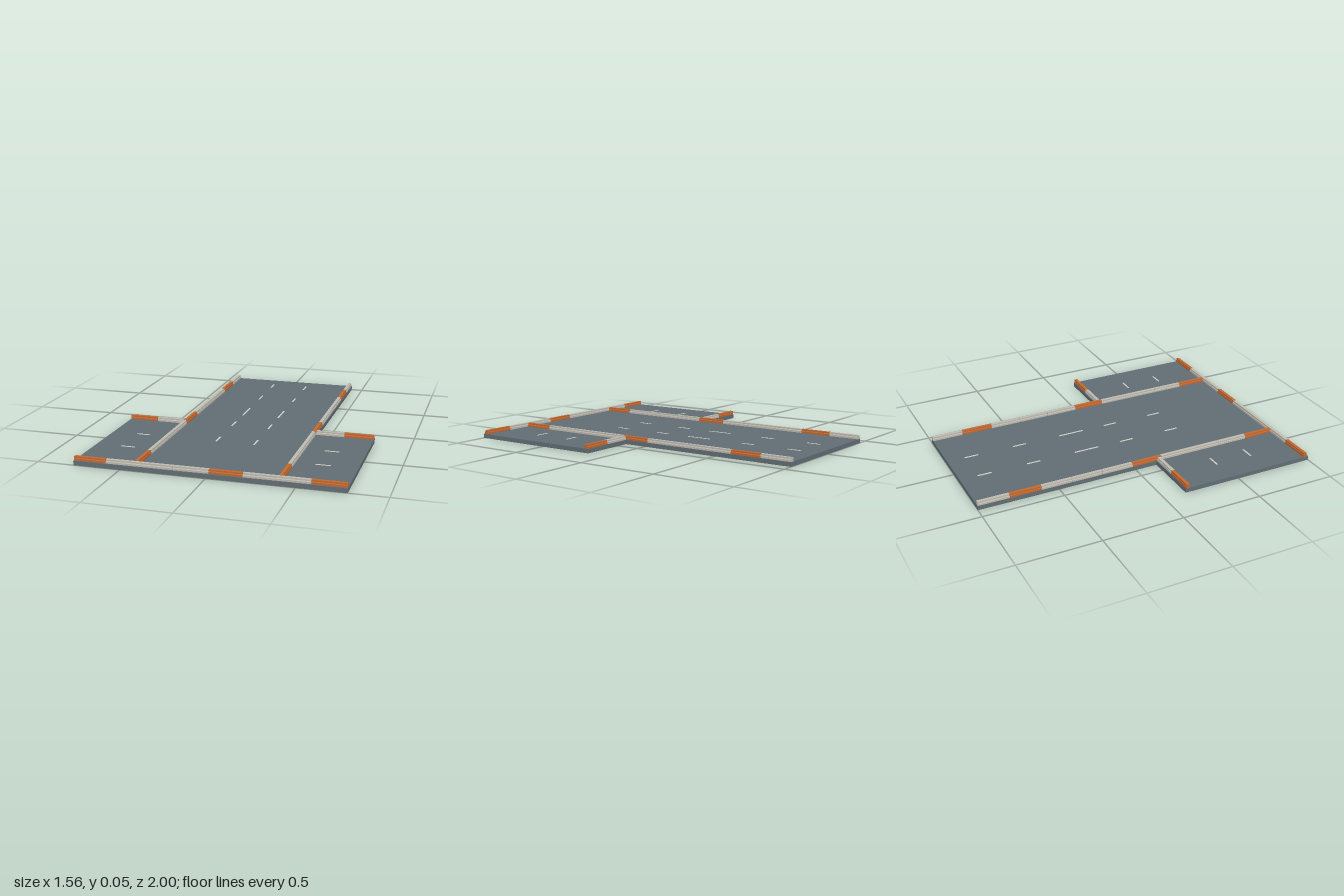
import * as THREE from 'three';

const asphalt = new THREE.MeshStandardMaterial({ name: 'asphalt grey', color: 0x626e74 });
const concrete = new THREE.MeshStandardMaterial({ name: 'concrete', color: 0xbfbbb1 });
const orange = new THREE.MeshStandardMaterial({ name: 'barrier orange', color: 0xc4682f });
const paint = new THREE.MeshStandardMaterial({ name: 'lane paint', color: 0xd0d0c8 });

const DECK = 0.026, TOP = 0.05;

// Barrier cross-section: wide foot with a slightly narrower top
const profile = new THREE.Shape([
  [-0.013, 0], [0.013, 0], [0.013, 0.011], [0.01, 0.015], [0.01, TOP - DECK],
  [-0.01, TOP - DECK], [-0.01, 0.015], [-0.013, 0.011],
].map(([x, y]) => new THREE.Vector2(x, y)));

// One barrier block from a to b, along z at x = at, or along x at z = at
function barrier(name, axis, at, a, b, material) {
  const geometry = new THREE.ExtrudeGeometry(profile, { depth: b - a - 0.002, bevelEnabled: false });
  const mesh = new THREE.Mesh(geometry, material);
  mesh.name = name;
  if (axis === 'x') {
    mesh.rotation.y = Math.PI / 2;
    mesh.position.set(a + 0.001, DECK, at);
  } else {
    mesh.position.set(at, DECK, a + 0.001);
  }
  return mesh;
}

// Thin painted dash on the deck
function dash(x, z, w, d) {
  const mesh = new THREE.Mesh(new THREE.BoxGeometry(w, 0.002, d), paint);
  mesh.name = 'laneMark';
  mesh.position.set(x, DECK + 0.001, z);
  return mesh;
}

export function createModel() {
  const model = new THREE.Group();
  model.name = 'roadJunction';

  // T-shaped road deck, drawn as (x, -z) and laid flat
  const outline = new THREE.Shape([
    [-0.78, -1], [0.78, -1], [0.78, -0.14], [0.428, -0.14],
    [0.428, 1], [-0.428, 1], [-0.428, -0.14], [-0.78, -0.14],
  ].map(([x, y]) => new THREE.Vector2(x, y)));
  const deckGeometry = new THREE.ExtrudeGeometry(outline, { depth: DECK, bevelEnabled: false });
  deckGeometry.rotateX(-Math.PI / 2);
  const deck = new THREE.Mesh(deckGeometry, asphalt);
  deck.name = 'roadDeck';
  model.add(deck);

  // Barriers along the main road and on the inner edge of each wing
  const sideCuts = [-1, -0.805, -0.61, -0.415, -0.22, -0.02, 0.175, 0.58, 0.775, 0.965];
  const sideOrange = [1, 5, 8];
  for (const s of [-1, 1]) {
    for (let i = 0; i < sideCuts.length - 1; i++) {
      model.add(barrier('sideBarrier', 'z', s * 0.413, sideCuts[i], sideCuts[i + 1],
        sideOrange.includes(i) ? orange : concrete));
    }
    const span = (a, b) => (s > 0 ? [a, b] : [-b, -a]);
    model.add(barrier('wingBarrier', 'x', 0.156, ...span(0.426, 0.6), concrete));
    model.add(barrier('wingBarrier', 'x', 0.156, ...span(0.6, 0.78), orange));
  }

  // Barrier across the front
  const frontCuts = [-0.78, -0.587, -0.19, 0.015, 0.207, 0.583, 0.78];
  const frontOrange = [0, 3, 5];
  for (let i = 0; i < frontCuts.length - 1; i++) {
    model.add(barrier('frontBarrier', 'x', 0.978, frontCuts[i], frontCuts[i + 1],
      frontOrange.includes(i) ? orange : concrete));
  }

  // Lane markings
  const laneDashes = [[-0.89, -0.803], [-0.576, -0.49], [-0.262, -0.1], [0.05, 0.138], [0.368, 0.455]];
  for (const s of [-1, 1]) {
    for (const [a, b] of laneDashes) model.add(dash(s * 0.117, (a + b) / 2, 0.01, b - a));
    for (const z of [0.447, 0.686]) model.add(dash(s * 0.582, z, 0.085, 0.01));
  }
  return model;
}
